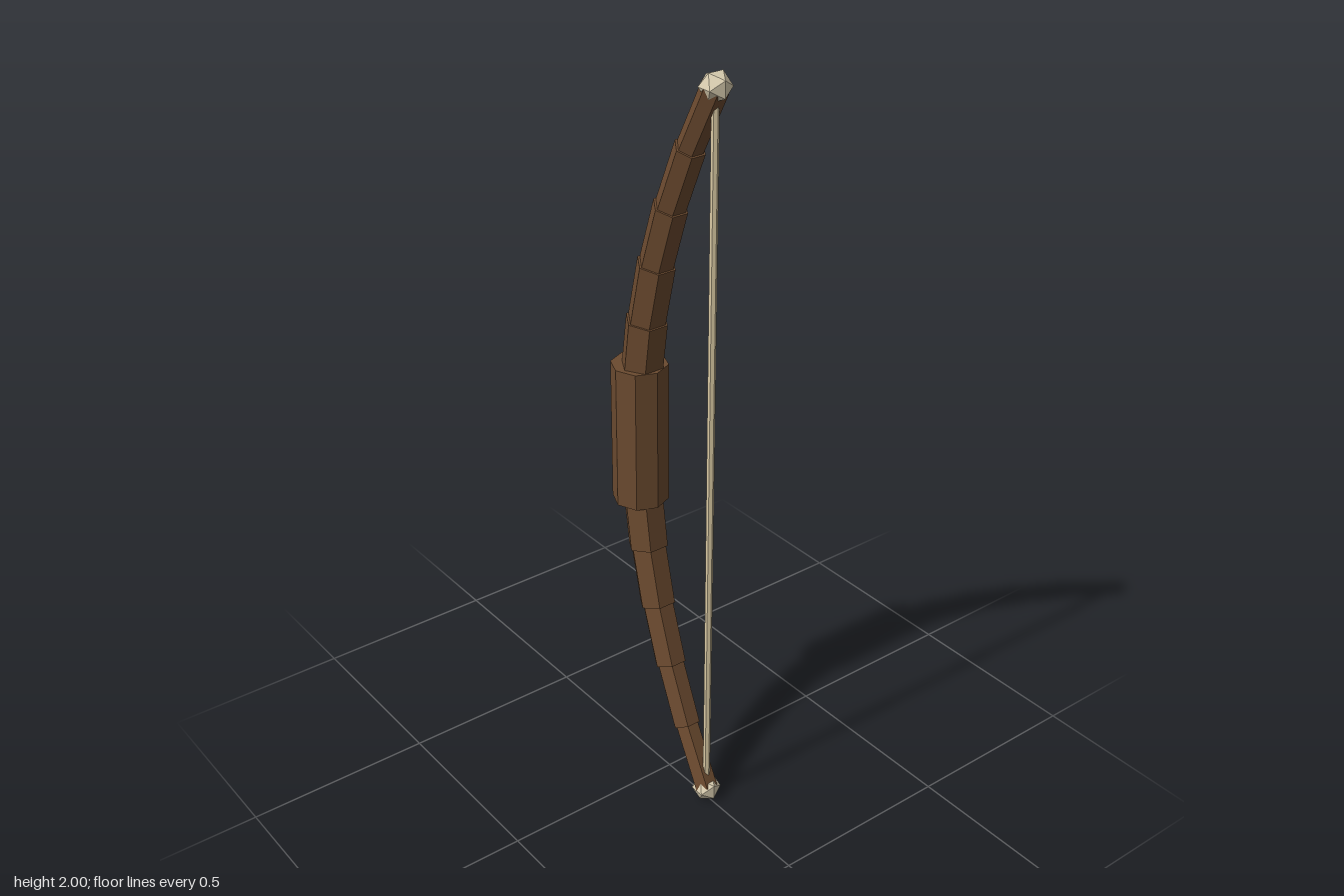
import * as THREE from 'three';

export function createModel() {
  const model = new THREE.Group();
  model.name = 'bow';
  const mat = (name, color) => {
    const m = new THREE.MeshStandardMaterial({ color, flatShading: true });
    m.name = name;
    return m;
  };
  const wood = mat('wood', 0x6b4a2f);
  const bone = mat('bone', 0xd9cdb0);
  const cord = mat('cord', 0xd9c9a3);

  const add = (name, geometry, material, y, z) => {
    const mesh = new THREE.Mesh(geometry, material);
    mesh.name = name;
    mesh.position.set(0, y, z);
    model.add(mesh);
    return mesh;
  };

  const HALF = 0.967, BELLY = -0.122, TIP = 0.161;
  // parabolic bend of the bow, t from -1 (bottom) to 1 (top)
  const bend = (t) => new THREE.Vector3(0, 1 + HALF * t, BELLY + (TIP - BELLY) * t * t);

  // limbs: straight hexagonal segments, thinner towards the tips
  const SEGMENTS = 12;
  for (let i = 0; i < SEGMENTS; i++) {
    const t0 = -1 + (2 * i) / SEGMENTS, t1 = -1 + (2 * (i + 1)) / SEGMENTS;
    const a = bend(t0), b = bend(t1);
    const radius = 0.063 - 0.0325 * Math.abs((t0 + t1) / 2);
    const geometry = new THREE.CylinderGeometry(radius, radius, a.distanceTo(b), 6);
    geometry.rotateY(Math.PI / 2);
    const mid = a.clone().add(b).multiplyScalar(0.5);
    const limb = add('limbSegment' + (i + 1), geometry, wood, mid.y, mid.z);
    limb.rotation.x = Math.atan2(b.z - a.z, b.y - a.y);
  }

  // octagonal grip
  add('grip', new THREE.CylinderGeometry(0.073, 0.073, 0.385, 8), wood, 1, BELLY);

  // faceted tips
  for (const [name, side] of [['lowerTip', -1], ['upperTip', 1]]) {
    add(name, new THREE.IcosahedronGeometry(0.0388, 0), bone, 1 + side * HALF, TIP);
  }

  // bowstring
  add('string', new THREE.CylinderGeometry(0.0095, 0.0095, 2 * HALF, 6), cord, 1, TIP);

  return model;
}
